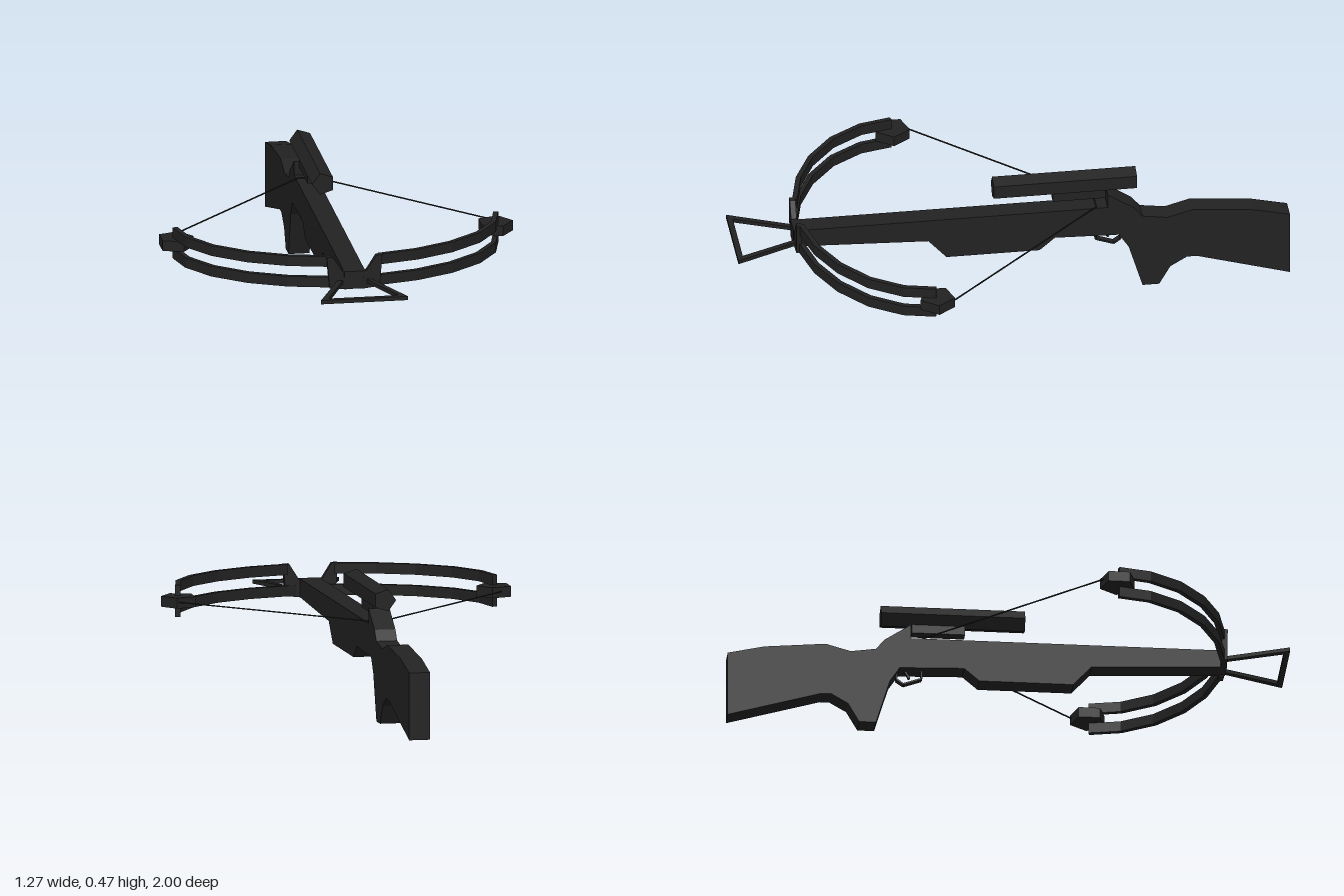
import * as THREE from 'three';

const CX = -0.008; // centre line of the stock

export function createModel() {
  const group = new THREE.Group();
  const black = new THREE.MeshStandardMaterial({ color: 0x222222 });

  const add = (name, geometry) => {
    const mesh = new THREE.Mesh(geometry, black);
    mesh.name = name;
    group.add(mesh);
    return mesh;
  };
  const extrude = (pts, depth) => new THREE.ExtrudeGeometry(
    new THREE.Shape(pts.map(([a, b]) => new THREE.Vector2(a, b))),
    { depth, bevelEnabled: false });
  // side profile [z, y] given a width across x
  const sideProfile = (pts, width) =>
    extrude(pts, width).rotateY(-Math.PI / 2).translate(CX + width / 2, 0, 0);
  // plan outline [x, z] filling the height from y0 to y1
  const planProfile = (pts, y0, y1) =>
    extrude(pts, y1 - y0).rotateX(Math.PI / 2).translate(0, y1, 0);
  // straight bar between two points
  const bar = (name, a, b, width, height) => {
    const from = new THREE.Vector3(...a), to = new THREE.Vector3(...b);
    const mesh = add(name, new THREE.BoxGeometry(width, height, from.distanceTo(to)));
    mesh.position.copy(from).add(to).multiplyScalar(0.5);
    mesh.lookAt(to);
    return mesh;
  };

  // stock with fore-end, grip and butt
  add('stock', sideProfile([
    [0.785, 0.335], [0.785, 0.27], [0.30, 0.25], [0.235, 0.178], [-0.10, 0.178],
    [-0.155, 0.225], [-0.385, 0.218], [-0.42, 0.165], [-0.47, 0], [-0.53, 0],
    [-0.57, 0.07], [-0.63, 0.105], [-0.665, 0.105], [-1, 0.008], [-1, 0.25],
    [-0.87, 0.28], [-0.65, 0.30], [-0.56, 0.275], [-0.47, 0.288], [-0.44, 0.325],
    [-0.345, 0.388], [-0.345, 0.335],
  ], 0.076));

  // scope: five-sided tube along z, and its mount
  const scope = add('scope', new THREE.CylinderGeometry(0.0415, 0.0415, 0.515, 5)
    .rotateX(Math.PI / 2).toNonIndexed());
  scope.geometry.rotateZ(Math.PI / 2 + Math.PI);
  // turn so that one corner points towards -x
  scope.geometry.computeBoundingBox();
  const box = scope.geometry.boundingBox;
  if (box.max.x > -box.min.x) scope.geometry.rotateZ(Math.PI);
  scope.geometry.computeVertexNormals();
  scope.position.set(-0.005, 0.431, -0.193);
  add('scopeMount', new THREE.BoxGeometry(0.04, 0.032, 0.19)).position.set(CX, 0.381, -0.245);

  // trigger guard and trigger
  const guard = [[-0.305, 0.23], [-0.305, 0.19], [-0.37, 0.167], [-0.395, 0.185], [-0.39, 0.225]];
  for (let i = 0; i < guard.length - 1; i++) {
    const [z0, y0] = guard[i], [z1, y1] = guard[i + 1];
    bar('triggerGuard', [CX, y0, z0], [CX, y1, z1], 0.024, 0.006);
  }
  bar('trigger', [CX, 0.225, -0.365], [CX, 0.192, -0.348], 0.012, 0.008);

  // bow limbs: outer curve in plan, offset inwards for the thickness
  const curve = [[0.03, 0.786], [0.09, 0.772], [0.235, 0.738], [0.37, 0.674],
    [0.485, 0.58], [0.56, 0.465], [0.587, 0.35]];
  const inner = curve.map(([x, z], i) => {
    const a = curve[Math.max(i - 1, 0)], b = curve[Math.min(i + 1, curve.length - 1)];
    const dx = b[0] - a[0], dz = b[1] - a[1], l = Math.hypot(dx, dz);
    return [x + dz / l * 0.018, z - dx / l * 0.018];
  });
  const camPoints = (cx) => Array.from({ length: 5 }, (_, i) => {
    const t = i * Math.PI * 2 / 5;
    return [cx + 0.065 * Math.cos(t), 0.345 + 0.065 * Math.sin(t)];
  });
  for (const s of [1, -1]) {
    const flip = ([x, z]) => [CX + s * x, z];
    const outline = (from) => [...curve.slice(from), ...inner.slice(from).reverse()].map(flip);
    add('lowerLimb', planProfile(outline(0), 0.275, 0.313));
    add('upperLimb', planProfile(outline(1), 0.352, 0.39));
    // slanted riser joining the two limbs
    add('riser', extrude([[0.03, 0.268], [0.09, 0.275], [0.1, 0.39], [0.078, 0.39],
      [0.043, 0.335], [0.03, 0.335]].map(flip), 0.02).translate(0, 0, 0.762));
    // five-sided cam at the limb tip
    const camX = s > 0 ? 0.567 : -0.584;
    add('cam', planProfile(camPoints(camX), 0.315, 0.353));
    // bowstring
    bar('bowstring', [CX + s * 0.59, 0.337, 0.29], [CX + s * 0.03, 0.337, -0.305], 0.004, 0.004);
  }
  bar('bowstringCentre', [CX - 0.03, 0.337, -0.305], [CX + 0.03, 0.337, -0.305], 0.004, 0.004);

  // foot stirrup: open trapezoid in front of the bow
  add('stirrup', planProfile([
    [-0.07, 0.78], [-0.165, 1], [0.15, 1], [0.054, 0.78], [0.035, 0.78],
    [0.118, 0.98], [-0.133, 0.98], [-0.05, 0.78],
  ], 0.288, 0.302));

  return group;
}
